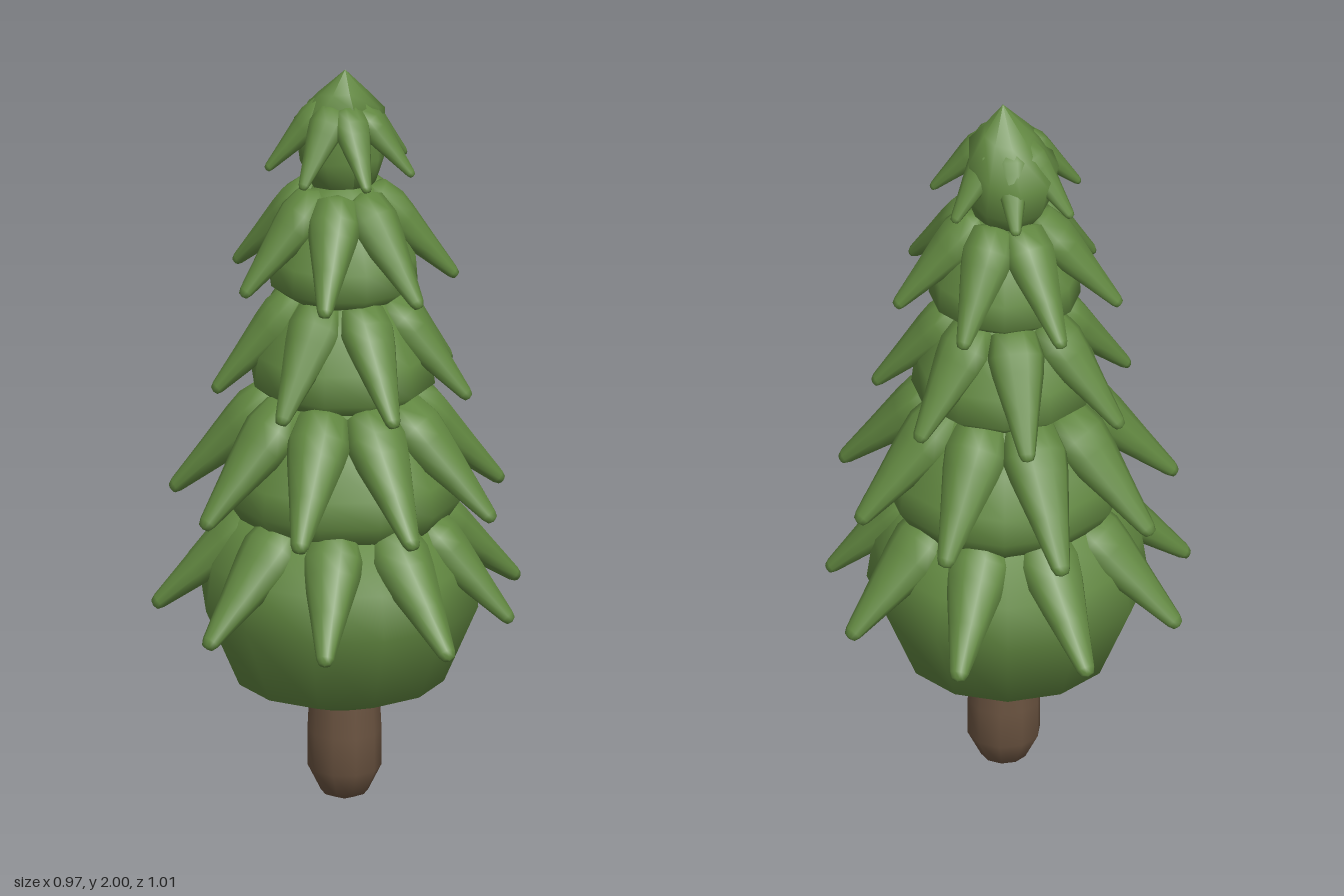
import * as THREE from 'three';

const green = new THREE.MeshStandardMaterial({ color: 0x628841 });
green.name = 'needle green';
const brown = new THREE.MeshStandardMaterial({ color: 0x6a5340 });
brown.name = 'bark brown';

// Revolved solid; points run from bottom to top
function lathe(name, points, sides, material, x, z) {
  const profile = points.map(([r, y]) => new THREE.Vector2(r, y));
  const mesh = new THREE.Mesh(new THREE.LatheGeometry(profile, sides), material);
  mesh.name = name;
  mesh.position.set(x, 0, z);
  return mesh;
}

// Tapered bough with a blunt tip at the origin, growing up +y to length 1
const boughProfile = [[0, 0], [0.042, 0.012], [0.06, 0.05], [0.124, 0.35], [0.185, 0.62], [0.205, 0.75], [0.17, 0.92], [0, 1]]
  .map(([r, y]) => new THREE.Vector2(r, y));
const boughGeometry = new THREE.LatheGeometry(boughProfile, 10);

// Ring of drooping boughs around the tree, a little narrower across than deep;
// reach lengthens or shortens single boughs
function boughRing(name, { count, start, tip, root, x, z, reach = {} }) {
  const ring = new THREE.Group();
  ring.name = name;
  ring.position.set(x, 0, z);
  ring.scale.x = 0.955;
  for (let i = 0; i < count; i++) {
    const tipRadius = tip[0] * (reach[i] ?? 1);
    const length = Math.hypot(tipRadius - root[0], tip[1] - root[1]);
    const pivot = new THREE.Group();
    pivot.name = 'boughPivot';
    pivot.rotation.y = -THREE.MathUtils.degToRad(start + (i * 360) / count);
    const bough = new THREE.Mesh(boughGeometry, green);
    bough.name = 'bough';
    bough.position.set(tipRadius, tip[1], 0);
    bough.rotation.z = Math.atan2(tipRadius - root[0], root[1] - tip[1]);
    bough.scale.set(length * 0.8, length, length * 1.02);
    pivot.add(bough);
    ring.add(pivot);
  }
  return ring;
}

export function createModel() {
  const tree = new THREE.Group();
  tree.name = 'pineTree';

  // Trunk with a rounded foot
  tree.add(lathe('trunk', [[0, 0.005], [0.06, 0.03], [0.095, 0.1], [0.095, 0.2], [0.088, 0.34]], 10, brown, 0.006, -0.011));

  // Rounded foliage cores, from the base up
  const cores = [
    [[0, 0.27], [0.09, 0.28], [0.272, 0.35], [0.362, 0.56], [0.345, 0.68], [0.27, 0.8], [0, 0.88]],
    [[0, 0.77], [0.27, 0.79], [0.31, 0.85], [0.3, 0.92], [0.25, 1.02], [0.18, 1.13], [0, 1.18]],
    [[0, 1.1], [0.19, 1.12], [0.24, 1.16], [0.23, 1.24], [0.175, 1.34], [0.12, 1.41], [0, 1.44]],
    [[0, 1.38], [0.15, 1.395], [0.195, 1.43], [0.19, 1.5], [0.14, 1.6], [0.08, 1.68], [0, 1.7]],
  ];
  cores.forEach((points, i) => tree.add(lathe('foliageCore' + (i + 1), points, 12, green, i ? 0.003 : -0.006, -0.01)));

  // Pointed crown with a round underside, its rim tipped down and set towards the back
  const crown = lathe('crown', [[0, 1.67], [0.085, 1.685], [0.11, 1.745], [0.119, 1.865], [0.065, 1.93], [0, 2]], 9, green, 0.007, -0.008);
  const p = crown.geometry.attributes.position;
  for (let i = 0; i < p.count; i++) {
    const y = p.getY(i), z = p.getZ(i);
    const lean = Math.min((y - 1.6) / 0.265, (2 - y) / 0.135);
    p.setY(i, y + 0.4 * lean * z);
    p.setZ(i, z - 0.05 * lean);
  }
  crown.geometry.computeVertexNormals();
  tree.add(crown);

  // Five rings of boughs
  const rings = [
    { count: 9, start: -5, tip: [0.51, 0.545], root: [0.19, 0.82], x: 0, z: 0, reach: { 1: 0.92, 3: 0.94 } },
    { count: 9, start: 3, tip: [0.452, 0.84], root: [0.15, 1.13], x: -0.01, z: -0.002, reach: { 7: 1.04 } },
    { count: 7, start: -17, tip: [0.352, 1.135], root: [0.1, 1.4], x: 0.004, z: -0.018 },
    { count: 7, start: 15, tip: [0.308, 1.43], root: [0.065, 1.68], x: 0, z: -0.013 },
    { count: 7, start: -14, tip: [0.203, 1.73], root: [0.035, 1.91], x: 0, z: -0.018 },
  ];
  rings.forEach((ring, i) => tree.add(boughRing('boughRing' + (i + 1), ring)));
  return tree;
}
